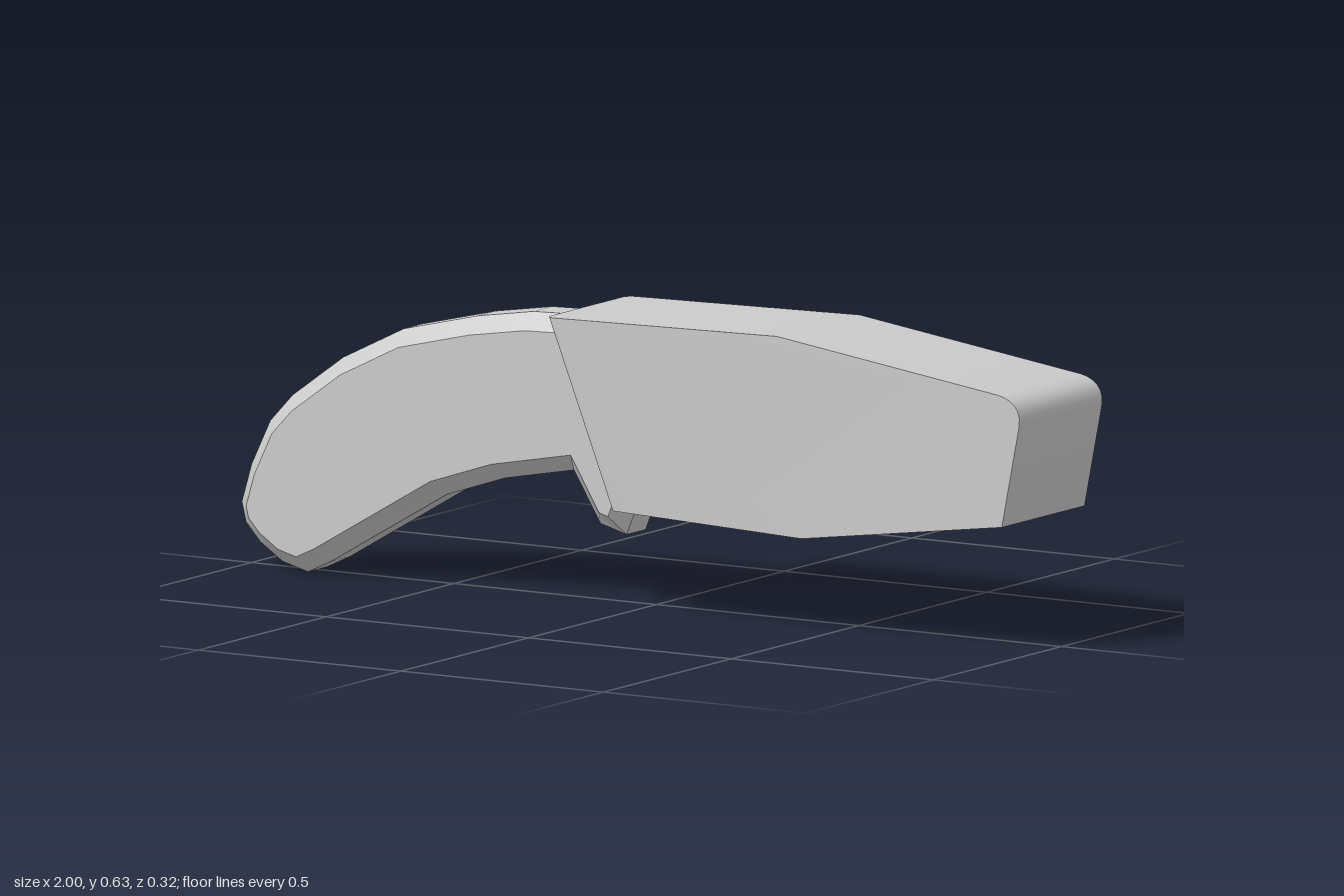
import * as THREE from 'three';
import { toCreasedNormals } from 'three/addons/utils/BufferGeometryUtils.js';

const material = new THREE.MeshStandardMaterial({ color: 0xcccccc });

function part(name, geometry, crease) {
  const mesh = new THREE.Mesh(toCreasedNormals(geometry, crease), material);
  mesh.name = name;
  return mesh;
}

// Curved grip and trigger: one outline with a single chamfer on both sides
function createGrip() {
  const outline = [
    // top, running back from inside the body
    [0.06, 0.59], [-0.18, 0.605], [-0.28, 0.602], [-0.42, 0.58], [-0.6, 0.537],
    [-0.75, 0.463], [-0.875, 0.372], [-0.93, 0.313], [-0.976, 0.217],
    // rounded butt
    [-1, 0.136], [-0.99, 0.094], [-0.955, 0.055], [-0.9, 0.018], [-0.837, 0.001], [-0.78, 0.028],
    // underside
    [-0.495, 0.195], [-0.35, 0.243], [-0.18, 0.275],
    // trigger
    [-0.115, 0.168], [-0.05, 0.15], [-0.005, 0.26], [0.06, 0.3],
  ].map(([x, y]) => new THREE.Vector2(x, y));
  const flat = 0.074, chamfer = 0.041, inset = 0.035;
  const geometry = new THREE.ExtrudeGeometry(new THREE.Shape(outline), {
    depth: flat, bevelThickness: chamfer, bevelSize: inset, bevelOffset: -inset, bevelSegments: 1,
  });
  geometry.translate(0, 0, -flat / 2);
  return part('gripAndTrigger', geometry, 0.62);
}

// Blocky body: side profile with a rounded top front corner
function createBody() {
  const shape = new THREE.Shape();
  shape.moveTo(-0.172, 0.617);
  shape.lineTo(-0.015, 0.221);
  shape.lineTo(0.46, 0.204);
  shape.lineTo(0.955, 0.272);
  shape.lineTo(0.998, 0.49);
  shape.bezierCurveTo(1.003, 0.525, 0.98, 0.545, 0.945, 0.551);
  shape.lineTo(0.4, 0.627);
  shape.closePath();

  const half = 0.162, radius = 0.02;
  const geometry = new THREE.ExtrudeGeometry(shape, {
    depth: 2 * (half - radius), curveSegments: 6,
    bevelThickness: radius, bevelSize: 0, bevelSegments: 4,
  });
  geometry.translate(0, 0, -(half - radius));

  // Round only the two rear side edges
  const p = geometry.attributes.position;
  for (let i = 0; i < p.count; i++) {
    const d = Math.max(0, Math.abs(p.getZ(i)) - (half - radius)) / radius;
    if (p.getX(i) < 0) p.setX(i, p.getX(i) + radius * (1 - Math.sqrt(Math.max(0, 1 - d * d))));
  }
  return part('body', geometry, 0.6);
}

export function createModel() {
  const model = new THREE.Group();
  model.name = 'handheldScanner';
  model.add(createGrip(), createBody());
  return model;
}
